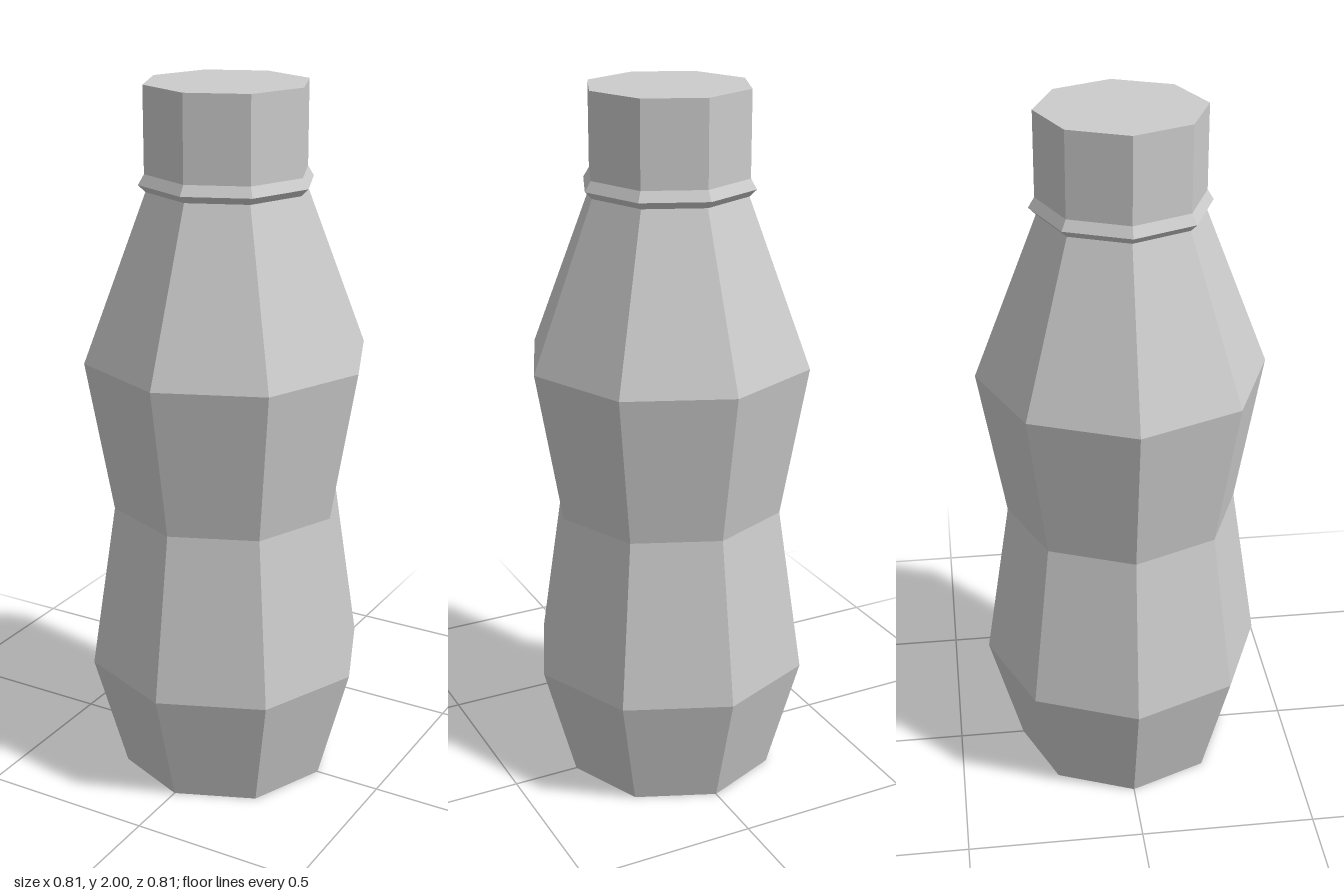
import * as THREE from 'three';

const SIDES = 8;

// Faceted solid of revolution from [radius, height] pairs, listed bottom to top
function lathe(name, profile, material) {
  const points = profile.map(([r, y]) => new THREE.Vector2(r, y));
  const mesh = new THREE.Mesh(new THREE.LatheGeometry(points, SIDES), material);
  mesh.name = name;
  return mesh;
}

export function createModel() {
  const group = new THREE.Group();
  group.name = 'bottle';
  const material = new THREE.MeshStandardMaterial({ color: 0xcccccc, flatShading: true });

  // Closed base, lower bulge, waist, upper bulge and shoulder
  group.add(lathe('body', [
    [0, 0], [0.308, 0], [0.402, 0.342], [0.329, 0.82], [0.404, 1.255], [0.225, 1.718],
  ], material));

  // Bevelled collar around the neck
  group.add(lathe('collar', [
    [0.225, 1.718], [0.245, 1.738], [0.228, 1.766],
  ], material));

  // Straight cap with a flat top
  group.add(lathe('cap', [
    [0.228, 1.766], [0.228, 2], [0, 2],
  ], material));

  return group;
}
